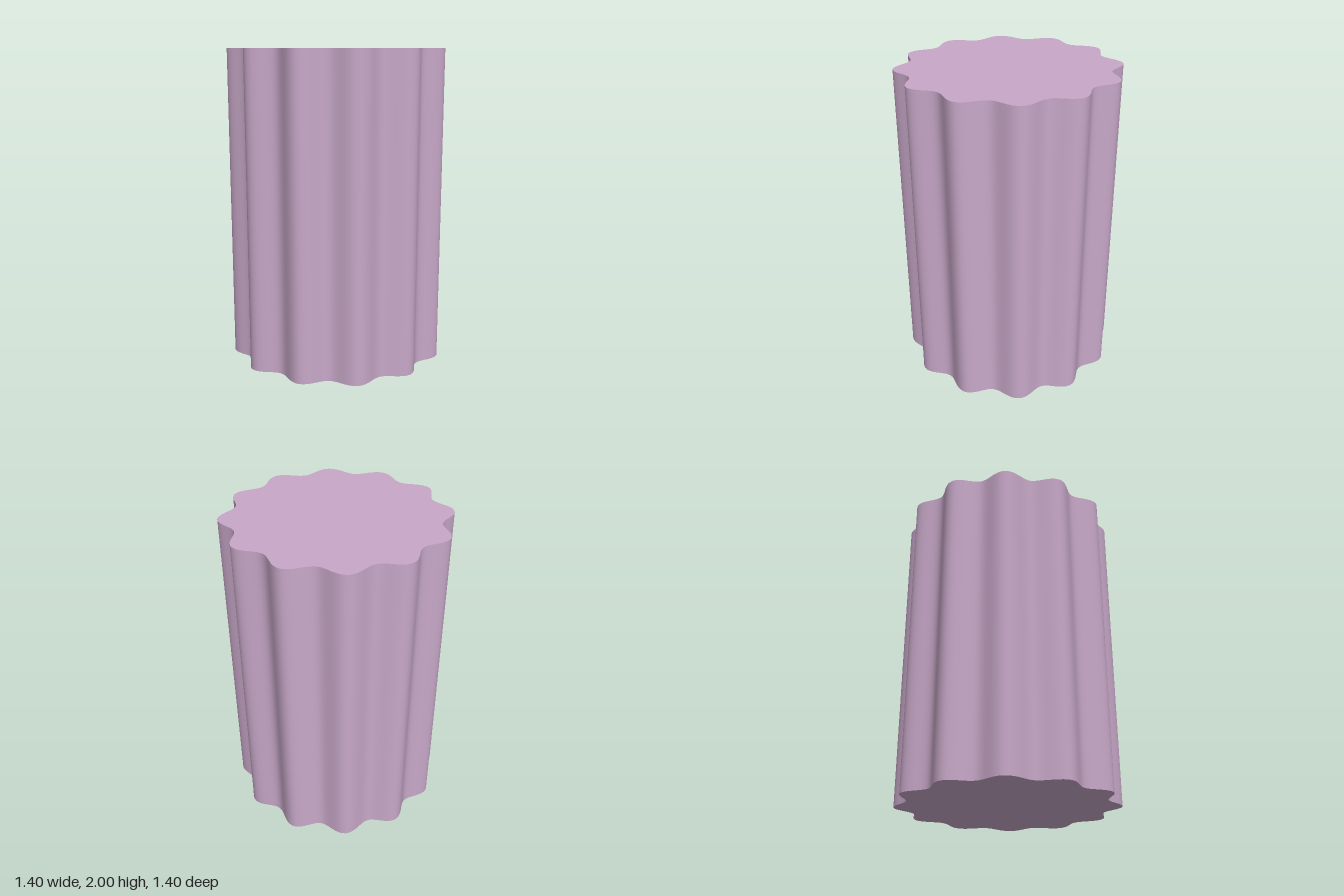
import * as THREE from 'three';
import { toCreasedNormals } from 'three/addons/utils/BufferGeometryUtils.js';

const LOBES = 12, STEPS_PER_LOBE = 20;
const MEAN_RADIUS = 0.66, WAVE = 0.04, HEIGHT = 2;

// Closed outline whose radius follows a cosine wave
function flutedOutline() {
  const points = [];
  const count = LOBES * STEPS_PER_LOBE;
  for (let i = 0; i < count; i++) {
    const a = (i / count) * Math.PI * 2;
    const r = MEAN_RADIUS + WAVE * Math.cos(LOBES * a);
    points.push(new THREE.Vector2(r * Math.cos(a), r * Math.sin(a)));
  }
  return new THREE.Shape(points);
}

export function createModel() {
  const group = new THREE.Group();
  group.name = 'flutedColumn';

  // Solid column: smooth flutes, sharp rims, flat ends
  const extruded = new THREE.ExtrudeGeometry(flutedOutline(), { depth: HEIGHT, bevelEnabled: false });
  extruded.rotateX(-Math.PI / 2);
  const column = new THREE.Mesh(
    toCreasedNormals(extruded, Math.PI / 4),
    new THREE.MeshStandardMaterial({ color: 0xc8a8c8 })
  );
  column.name = 'columnBody';
  group.add(column);
  return group;
}
